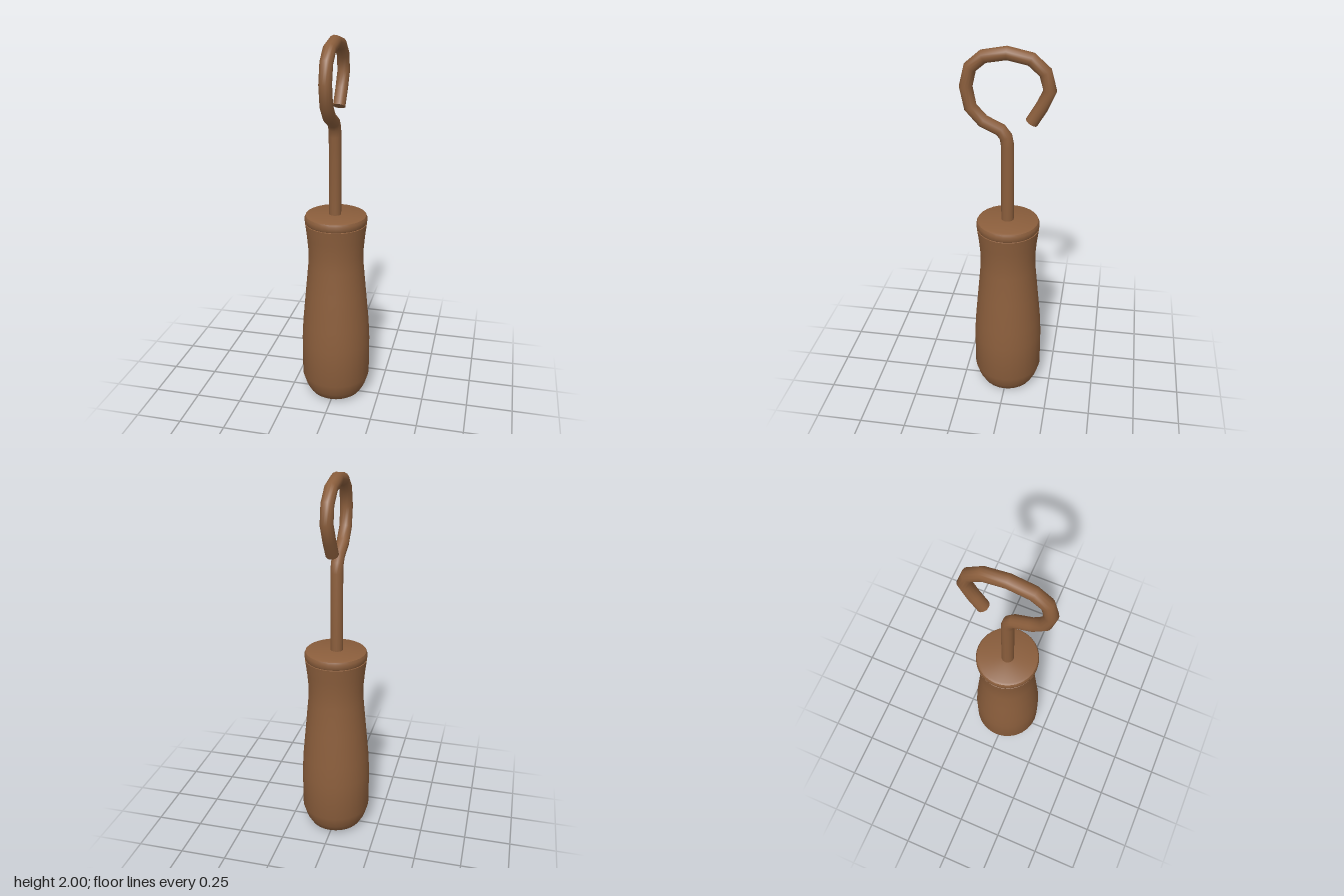
import * as THREE from 'three';
import { toCreasedNormals } from 'three/addons/utils/BufferGeometryUtils.js';

const brown = new THREE.MeshStandardMaterial({ color: 0x8b5e3c });

function addMesh(group, name, geometry) {
  const mesh = new THREE.Mesh(geometry, brown);
  mesh.name = name;
  group.add(mesh);
  return mesh;
}

// Turned part from [radius, y] pairs, running bottom to top
function turned(profile) {
  const points = profile.map(([r, y]) => new THREE.Vector2(r, y));
  return toCreasedNormals(new THREE.LatheGeometry(points, 28), 0.6);
}

export function createModel() {
  const group = new THREE.Group();

  // Waisted grip with a rounded butt
  const grip = addMesh(group, 'grip', turned([
    [0, 0], [0.125, 0.005], [0.145, 0.02], [0.168, 0.06], [0.188, 0.125],
    [0.188, 0.34], [0.182, 0.45], [0.165, 0.63], [0.15, 0.79], [0.148, 0.87],
    [0.155, 0.95], [0.165, 1.03], [0.155, 1.035], [0, 1.035],
  ]));
  // Collar above a fine groove
  const collar = addMesh(group, 'collar', turned([
    [0, 1.03], [0.16, 1.03], [0.166, 1.04], [0.166, 1.063], [0.161, 1.075],
    [0.15, 1.08], [0, 1.08],
  ]));
  grip.position.z = collar.position.z = -0.003;

  // Rod bent into an open hook, as [z, y] centre points
  const path = [
    [0, 1.04], [0, 1.5], [0.008, 1.545], [0.034, 1.58], [0.122, 1.622],
    [0.183, 1.69], [0.203, 1.795], [0.18, 1.89], [0.116, 1.945], [0.003, 1.966],
    [-0.112, 1.942], [-0.18, 1.882], [-0.204, 1.794], [-0.165, 1.708], [-0.117, 1.627],
  ];
  const last = path.length - 1;
  const points = path.map(([z, y], i) =>
    new THREE.Vector3(i > last - 3 ? -0.004 - 0.002 * (i - last + 3) : -0.004, y, z));
  const curve = new THREE.CatmullRomCurve3(points);
  // Rings sit exactly on the points, keeping the bends faceted
  curve.getPointAt = (t, target) => curve.getPoint(t, target);
  curve.getTangentAt = (t, target) => curve.getTangent(t, target);
  const radius = 0.033;
  addMesh(group, 'hook', new THREE.TubeGeometry(curve, last, radius, 14, false));

  // Flat cut end of the hook
  const tip = addMesh(group, 'hookTip', new THREE.CircleGeometry(radius, 14));
  tip.position.copy(points[last]);
  tip.quaternion.setFromUnitVectors(new THREE.Vector3(0, 0, 1), curve.getTangent(1));

  return group;
}
